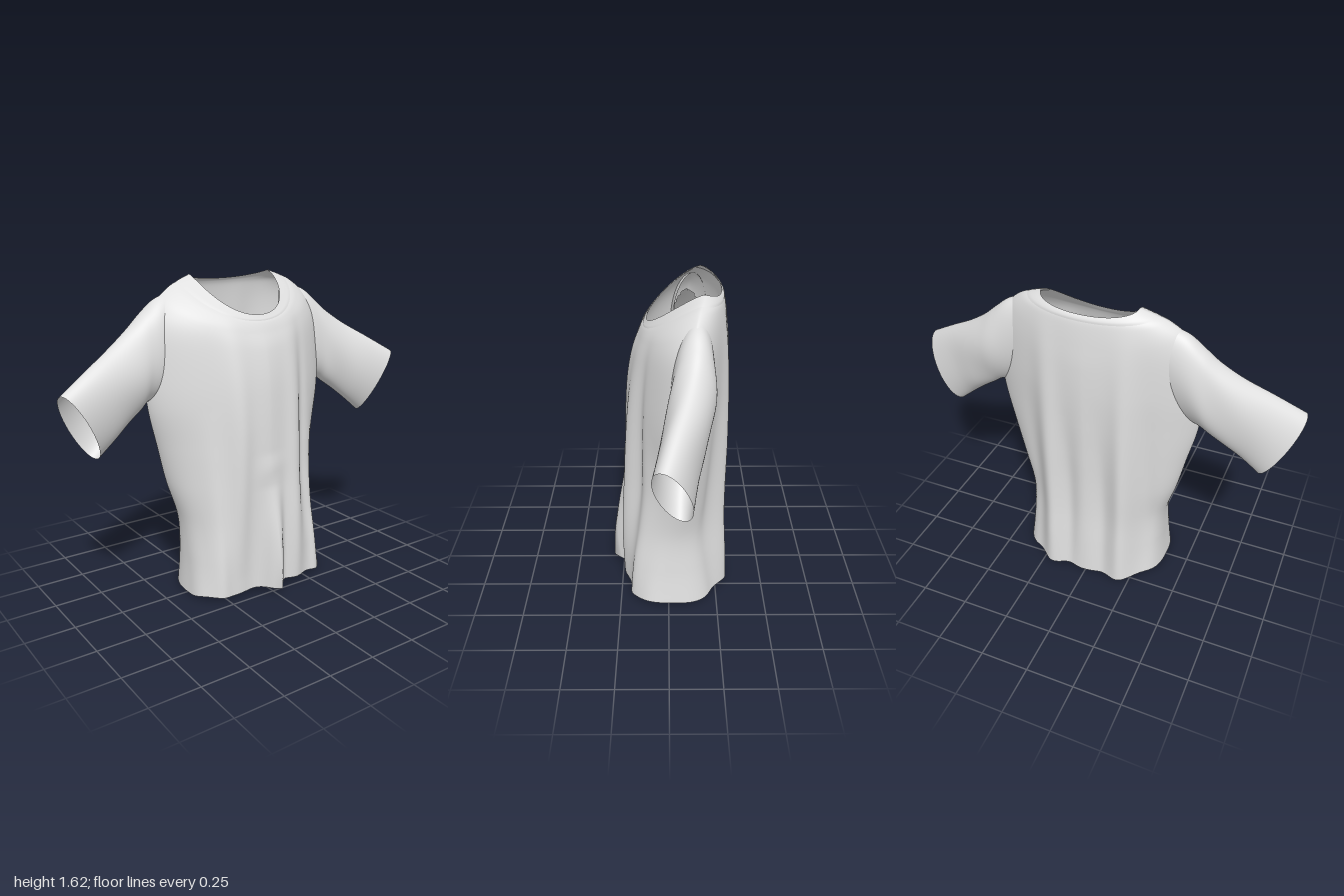
import * as THREE from 'three';

const fabric = new THREE.MeshStandardMaterial({ color: 0xe0e0e0, side: THREE.DoubleSide });
fabric.name = 'light grey fabric';

// Smooth interpolation through rows of numbers, u from 0 to 1
function sample(keys, u) {
  const f = Math.min(u, 1) * (keys.length - 1);
  const i = Math.min(Math.floor(f), keys.length - 2), t = f - i;
  const k = (n) => keys[Math.max(0, Math.min(keys.length - 1, n))];
  return keys[i].map((b, c) => {
    const a = k(i - 1)[c], d = k(i + 1)[c], e = k(i + 2)[c];
    return b + 0.5 * t * (d - a + t * (2 * a - 5 * b + 4 * d - e + t * (3 * (b - d) + e - a)));
  });
}

// Closed rings joined into a skin; skip(x, y, z) leaves openings
function loft(name, rows, cols, point, skip = () => false) {
  const pos = [], index = [];
  for (let i = 0; i <= rows; i++)
    for (let j = 0; j < cols; j++) pos.push(...point(i / rows, (j / cols) * Math.PI * 2));
  for (let i = 0; i < rows; i++)
    for (let j = 0; j < cols; j++) {
      const a = i * cols + j, b = i * cols + ((j + 1) % cols), c = a + cols, d = b + cols;
      if (skip(pos[a * 3], pos[a * 3 + 1], pos[a * 3 + 2])) continue;
      index.push(a, c, b, b, c, d);
    }
  const g = new THREE.BufferGeometry();
  g.setAttribute('position', new THREE.Float32BufferAttribute(pos, 3));
  g.setIndex(index);
  g.computeVertexNormals();
  const mesh = new THREE.Mesh(g, fabric);
  mesh.name = name;
  return mesh;
}

// Torso rings: centre x, half width, front z, back z, side z, front y, side y, back y, corner power
const torsoKeys = [
  [0.024, 0.402, 0.215, -0.285, 0.03, 0.03, 0.015, 0.01, 0.70],
  [0.018, 0.385, 0.220, -0.275, 0.00, 0.20, 0.20, 0.20, 0.78],
  [0.010, 0.385, 0.225, -0.266, -0.04, 0.40, 0.40, 0.40, 0.92],
  [0.000, 0.430, 0.227, -0.268, -0.08, 0.60, 0.60, 0.60, 1.10],
  [0.000, 0.475, 0.225, -0.278, -0.09, 0.80, 0.80, 0.80, 1.22],
  [0.000, 0.520, 0.218, -0.290, -0.09, 1.00, 1.00, 1.00, 1.32],
  [0.000, 0.530, 0.205, -0.297, -0.10, 1.15, 1.18, 1.18, 1.34],
  [0.000, 0.505, 0.180, -0.295, -0.11, 1.28, 1.40, 1.33, 1.28],
  [0.000, 0.440, 0.150, -0.284, -0.12, 1.36, 1.515, 1.45, 1.12],
  [0.005, 0.360, 0.132, -0.272, -0.135, 1.40, 1.58, 1.54, 1.02],
  [0.008, 0.290, 0.118, -0.262, -0.15, 1.42, 1.608, 1.575, 0.95],
  [0.010, 0.238, 0.105, -0.250, -0.16, 1.44, 1.627, 1.590, 0.92],
];

// Folds: side (1 front, -1 back), x at hem, x at top, width, depth, low y, high y
const folds = [
  [1, 0.02, 0.02, 0.05, 0.088, -0.6, 0.65], [1, 0.17, 0.17, 0.06, 0.035, -0.6, 1.5],
  [1, 0.09, 0.08, 0.03, -0.010, -0.3, 0.7], [1, -0.28, -0.30, 0.05, 0.025, -0.5, 1.0],
  [1, 0.25, 0.25, 0.035, -0.02, 0.2, 1.45], [1, 0.34, 0.33, 0.04, 0.025, -0.4, 1.0],
  [1, -0.10, -0.12, 0.06, -0.015, -0.5, 0.9], [1, -0.17, -0.17, 0.06, 0.03, 0.1, 1.5],
  [1, 0.0, 0.0, 0.07, 0.008, 0.58, 0.76],
  [-1, 0.20, 0.20, 0.06, 0.05, -0.6, 1.6], [-1, -0.20, -0.20, 0.06, 0.05, -0.6, 1.6],
  [-1, 0.30, 0.31, 0.05, -0.015, -0.5, 1.2], [-1, -0.30, -0.31, 0.05, -0.015, -0.5, 1.2],
  [-1, 0.02, 0.01, 0.05, 0.012, -0.4, 1.3], [-1, 0.10, 0.09, 0.04, -0.012, -0.5, 1.1],
  [-1, -0.09, -0.08, 0.04, -0.012, -0.5, 1.2],
];

function torsoPoint(u, a, lift = 0) {
  const [cx, w, zf, zb, zs, yf, ys, yb, p] = sample(torsoKeys, u);
  const c = Math.cos(a), s = Math.sin(a);
  const x = cx + (w + lift) * Math.sign(c) * Math.abs(c) ** p;
  let z = zs + ((s > 0 ? zf : zs * 2 - zb) - zs + lift) * Math.sign(s) * Math.abs(s) ** p;
  let y = ys + ((s > 0 ? yf : yb) - ys) * Math.abs(s) ** 1.2 + lift;
  for (const [side, x0, x1, width, depth, lo, hi] of folds) {
    if (side * s <= 0 || y <= lo || y >= hi) continue;
    const mid = x0 + (x1 - x0) * Math.max(0, y);
    const fade = Math.sin(((y - lo) / (hi - lo)) * Math.PI) ** 1.3;
    z += side * depth * fade * Math.exp(-(((x - mid) / width) ** 2)) * Math.min(1, Math.abs(s) * 2);
  }
  // uneven hem
  y += 0.006 * Math.sin(a * 5 + 1) * Math.max(0, 1 - u * 8);
  return [x, Math.max(0, y), z];
}

// Sleeve rings: top x, y, z, bottom x, y, z, half depth
const sleeveKeys = [
  [0.33, 1.560, -0.13, 0.40, 1.09, -0.09, 0.085],
  [0.44, 1.528, -0.125, 0.47, 1.06, -0.09, 0.096],
  [0.52, 1.467, -0.12, 0.535, 1.035, -0.09, 0.100],
  [0.60, 1.398, -0.105, 0.58, 1.00, -0.08, 0.100],
  [0.71, 1.322, -0.075, 0.65, 0.95, -0.07, 0.095],
  [0.85, 1.240, -0.028, 0.73, 0.885, -0.055, 0.086],
  [1.00, 1.150, 0.02, 0.82, 0.81, -0.05, 0.080],
];

function sleevePoint(side, u, a) {
  const [tx, ty, tz, bx, by, bz, h] = sample(sleeveKeys, u);
  const c = Math.cos(a), front = -side * Math.sin(a);
  const crease = 1 + 0.05 * Math.sin(3 * a + 7 * u + side) * Math.sin(Math.PI * u);
  // the cuff turns slightly forward
  const turn = 0.025 * u * front;
  return [
    side * ((tx + bx) / 2 + (c * (tx - bx)) / 2 - turn),
    (ty + by) / 2 + (c * (ty - by)) / 2 + turn / 2,
    (tz + bz) / 2 + (c * (tz - bz)) / 2 + front * h * crease,
  ];
}

export function createModel() {
  const shirt = new THREE.Group();
  shirt.name = 'shirt';

  // Torso, open at hem, neck and armholes
  shirt.add(loft('torso', 110, 200, (u, a) => torsoPoint(u, a), (x, y, z) =>
    Math.abs(x) > 0.44 && ((y - 1.25) / 0.16) ** 2 + ((z + 0.1) / 0.075) ** 2 < 1));

  // Neckband
  shirt.add(loft('neckband', 10, 160, (u, a) =>
    torsoPoint(0.87 + 0.13 * u, a, 0.002 * Math.min(1, u * 5))));

  // Sleeves
  for (const side of [1, -1])
    shirt.add(loft(side > 0 ? 'leftSleeve' : 'rightSleeve', 48, 72, (u, a) => sleevePoint(side, u, a)));

  return shirt;
}
